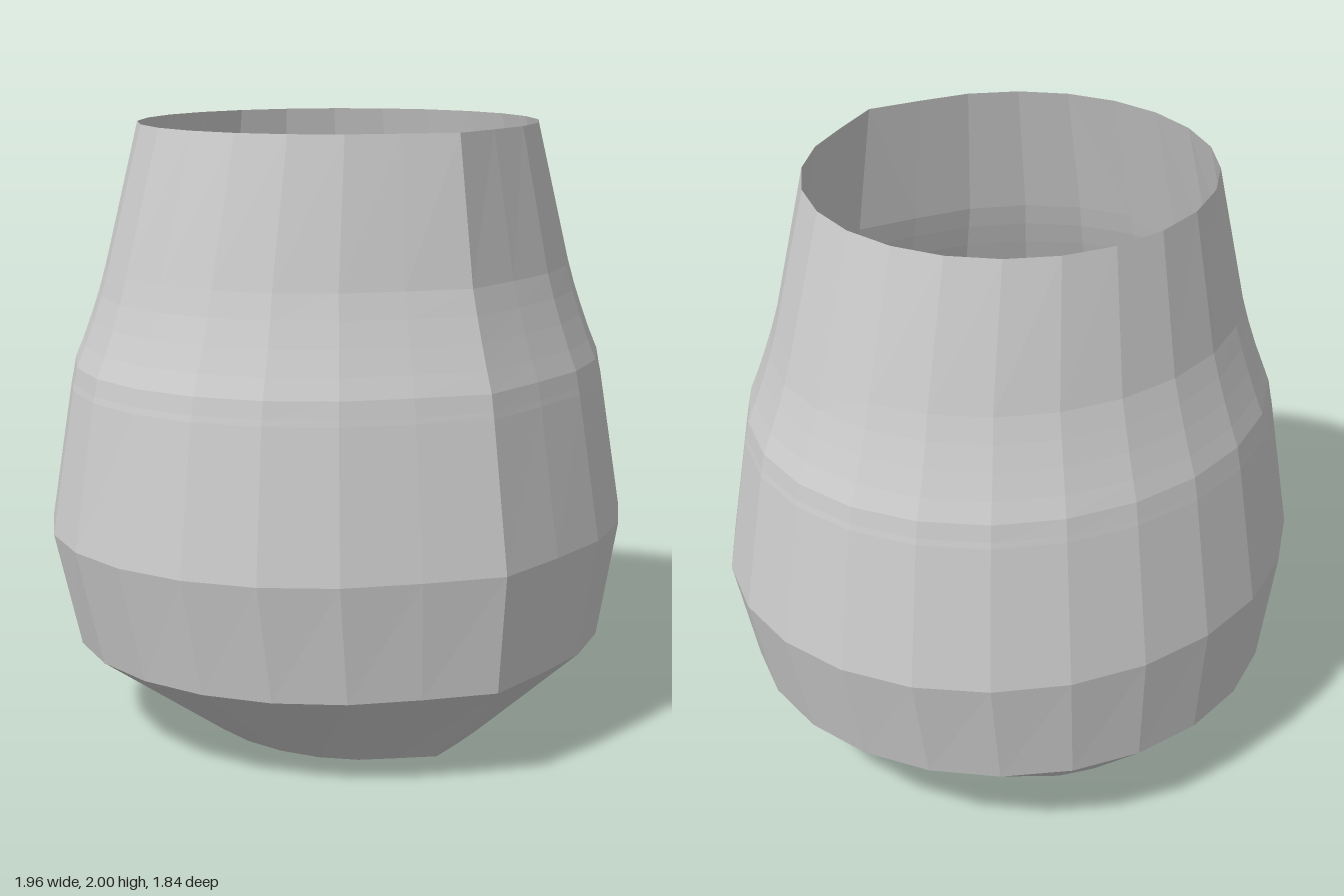
import * as THREE from 'three';

const SIDES = 24;
const CENTRE_Z = -0.03;

// Open shell lofted through oval rings [y, half width, half depth];
// the front vertex of each ring is pulled out into a pointed seam.
function loftShell(name, rings) {
  const positions = [];
  const index = [];
  for (const [y, rx, rz] of rings) {
    for (let i = 0; i < SIDES; i++) {
      const a = (i / SIDES) * Math.PI * 2;
      const peak = i === 0 ? rz * 0.03 + 0.02 : 0;
      positions.push(rx * Math.sin(a), y, CENTRE_Z + rz * Math.cos(a) + peak);
    }
  }
  for (let j = 0; j < rings.length - 1; j++) {
    for (let i = 0; i < SIDES; i++) {
      const a = j * SIDES + i;
      const b = j * SIDES + ((i + 1) % SIDES);
      index.push(a, b, b + SIDES, a, b + SIDES, a + SIDES);
    }
  }
  const geometry = new THREE.BufferGeometry();
  geometry.setAttribute('position', new THREE.Float32BufferAttribute(positions, 3));
  geometry.setIndex(index);
  geometry.computeVertexNormals();
  const material = new THREE.MeshStandardMaterial({
    color: 0xcccccc, flatShading: true, side: THREE.DoubleSide,
  });
  const mesh = new THREE.Mesh(geometry, material);
  mesh.name = name;
  return mesh;
}

export function createModel() {
  const group = new THREE.Group();
  group.name = 'taperedOpenShell';

  // Tapered underside and wide belly, open at the bottom
  group.add(loftShell('lowerShell', [
    [0, 0.46, 0.55],
    [0.31, 0.89, 0.86],
    [0.69, 0.98, 0.895],
    [1.16, 0.905, 0.82],
  ]));

  // Rounded shoulder and neck, open at the top
  group.add(loftShell('upperShell', [
    [1.16, 0.905, 0.82],
    [1.18, 0.9, 0.816],
    [1.235, 0.89, 0.806],
    [1.3, 0.862, 0.782],
    [1.38, 0.832, 0.755],
    [1.46, 0.805, 0.73],
    [1.54, 0.783, 0.707],
    [2, 0.66, 0.635],
  ]));

  return group;
}
